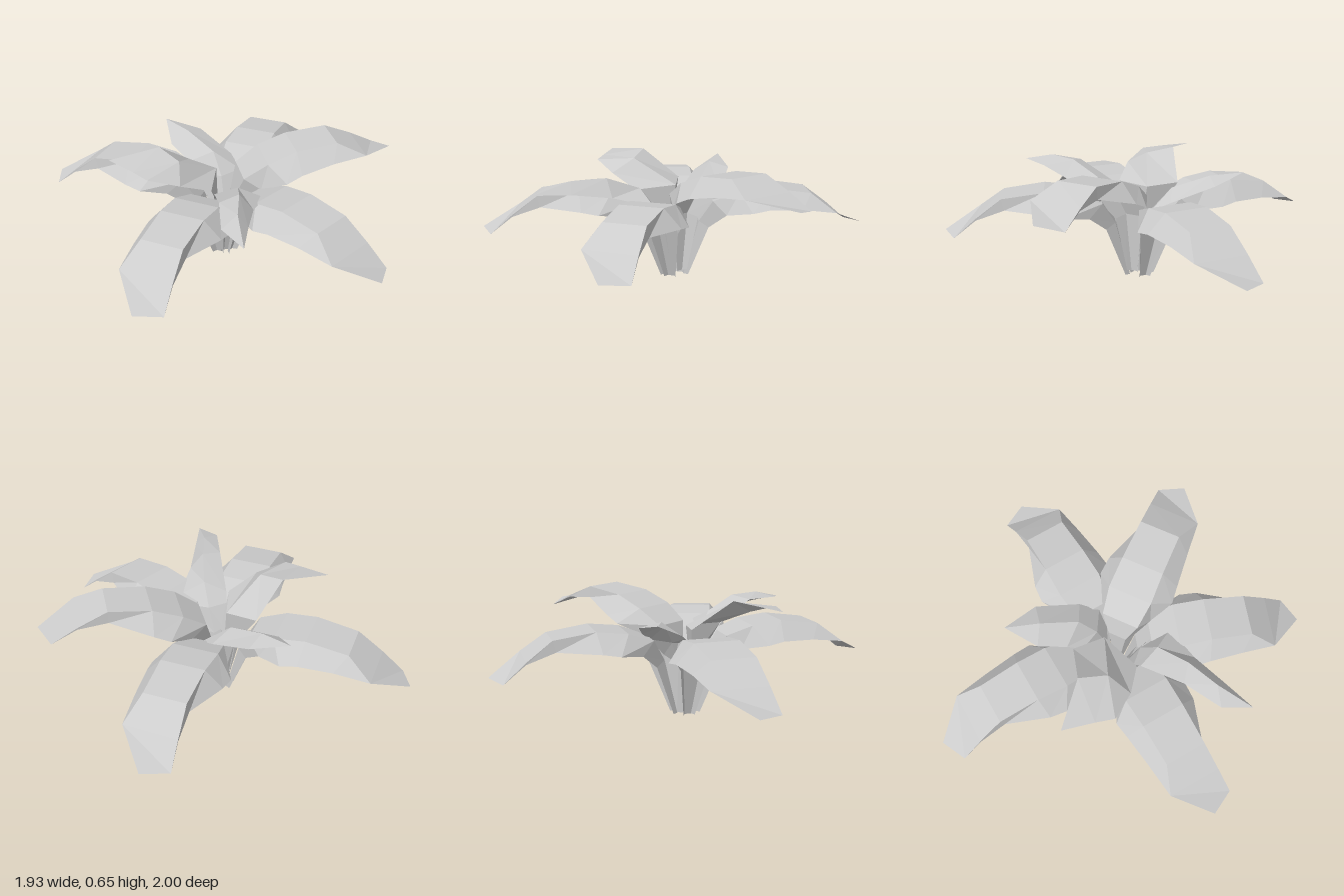
import * as THREE from 'three';

const material = new THREE.MeshStandardMaterial({
  color: 0xcccccc, flatShading: true, side: THREE.DoubleSide,
});

// Skins a sheet through rows of [x, y, z] points, all rows equally long
function blade(name, rows) {
  const n = rows[0].length, index = [];
  for (let i = 0; i < rows.length - 1; i++) {
    for (let j = 0; j < n - 1; j++) {
      const a = i * n + j, b = a + n;
      index.push(a, b, a + 1, a + 1, b, b + 1);
    }
  }
  const geometry = new THREE.BufferGeometry();
  geometry.setAttribute('position', new THREE.Float32BufferAttribute(rows.flat(2), 3));
  geometry.setIndex(index);
  geometry.computeVertexNormals();
  const mesh = new THREE.Mesh(geometry, material);
  mesh.name = name;
  return mesh;
}

// Long leaf growing towards +z: flat middle strip with a folded flap on each side.
// Section: [flap half width, flap y, flap z, middle half width, middle y, middle z]
const sections = [
  [0.032, 0, 0.075, 0.018, 0, 0.05],
  [0.08, 0.28, 0.18, 0.05, 0.31, 0.13],
  [0.14, 0.36, 0.27, 0.10, 0.43, 0.20],
  [0.21, 0.385, 0.40, 0.12, 0.48, 0.34],
  [0.20, 0.40, 0.49, 0.115, 0.50, 0.505],
];
const longRows = sections.map(([fw, fy, fz, mw, my, mz]) => [
  [fw, fy, fz], [mw, my, mz], [-mw, my, mz], [-fw, fy, fz],
]);
// Flaps taper out into the flat, skewed end of the leaf
longRows.push(
  [[0.115, 0.41, 0.71], [0.11, 0.47, 0.725], [-0.11, 0.47, 0.725], [-0.18, 0.395, 0.67]],
  [[0.12, 0.36, 0.86], [0.12, 0.37, 0.86], [-0.16, 0.37, 0.855], [-0.16, 0.37, 0.855]],
  [[0.13, 0.27, 0.975], [0.13, 0.27, 0.975], [0, 0.28, 1.035], [0, 0.28, 1.035]],
);

// Short upper leaves: left edge, ridge and right edge from stem to tip
const shortLeaves = {
  shortLeafFront: [
    [[0.01, 0, 0.01], [-0.015, 0, -0.01], [-0.04, 0, -0.01]],
    [[0, 0.3, 0.1], [-0.05, 0.27, 0.05], [-0.09, 0.3, 0.02]],
    [[0, 0.42, 0.19], [-0.06, 0.41, 0.1], [-0.15, 0.42, 0.05]],
    [[0, 0.45, 0.27], [-0.11, 0.52, 0.18], [-0.18, 0.47, 0.08]],
    [[-0.19, 0.5, 0.36], [-0.24, 0.59, 0.31], [-0.34, 0.57, 0.27]],
    [[-0.36, 0.53, 0.48], [-0.38, 0.59, 0.43], [-0.49, 0.56, 0.43]],
    [[-0.51, 0.54, 0.59], [-0.51, 0.54, 0.59], [-0.51, 0.54, 0.59]],
  ],
  shortLeafBack: [
    [[-0.02, 0, -0.07], [0.015, 0, -0.06], [0.05, 0, -0.06]],
    [[-0.03, 0.32, -0.12], [0.04, 0.27, -0.06], [0.12, 0.32, -0.05]],
    [[-0.02, 0.42, -0.2], [0.07, 0.4, -0.11], [0.19, 0.41, -0.08]],
    [[-0.01, 0.46, -0.28], [0.1, 0.51, -0.2], [0.22, 0.46, -0.18]],
    [[0, 0.51, -0.43], [0.1, 0.57, -0.4], [0.21, 0.54, -0.41]],
    [[0.1, 0.585, -0.58], [0.1, 0.585, -0.58], [0.1, 0.585, -0.58]],
  ],
  shortLeafRight: [
    [[-0.03, 0, -0.01], [-0.02, 0, -0.035], [-0.03, 0, -0.07]],
    [[-0.07, 0.3, 0.02], [-0.02, 0.28, -0.05], [-0.03, 0.3, -0.12]],
    [[-0.18, 0.48, 0.06], [0, 0.49, -0.08], [-0.04, 0.5, -0.25]],
    [[-0.34, 0.55, 0], [-0.25, 0.62, -0.1], [-0.25, 0.65, -0.25]],
    [[-0.47, 0.6, -0.1], [-0.475, 0.61, -0.2], [-0.49, 0.62, -0.37]],
  ],
};

export function createModel() {
  const plant = new THREE.Group();
  plant.name = 'leafyPlant';

  // Long leaves: [name, heading in degrees, upward tilt in degrees]
  const headings = [
    ['longLeafFront', 0, 0],
    ['longLeafRight', -69.3, 0],
    ['longLeafBack', -158.9, 0],
    ['longLeafLeft', 111.9, 0],
    ['raisedLeafFrontLeft', 55.6, 14],
  ];
  for (const [name, heading, tilt] of headings) {
    const leaf = blade(name, longRows);
    leaf.rotation.order = 'YXZ';
    leaf.rotation.y = THREE.MathUtils.degToRad(heading);
    leaf.rotation.x = -THREE.MathUtils.degToRad(tilt);
    leaf.position.set(0.007, tilt ? 0.015 : 0, -0.035);
    plant.add(leaf);
  }

  // Short leaves
  for (const [name, rows] of Object.entries(shortLeaves)) plant.add(blade(name, rows));

  return plant;
}
